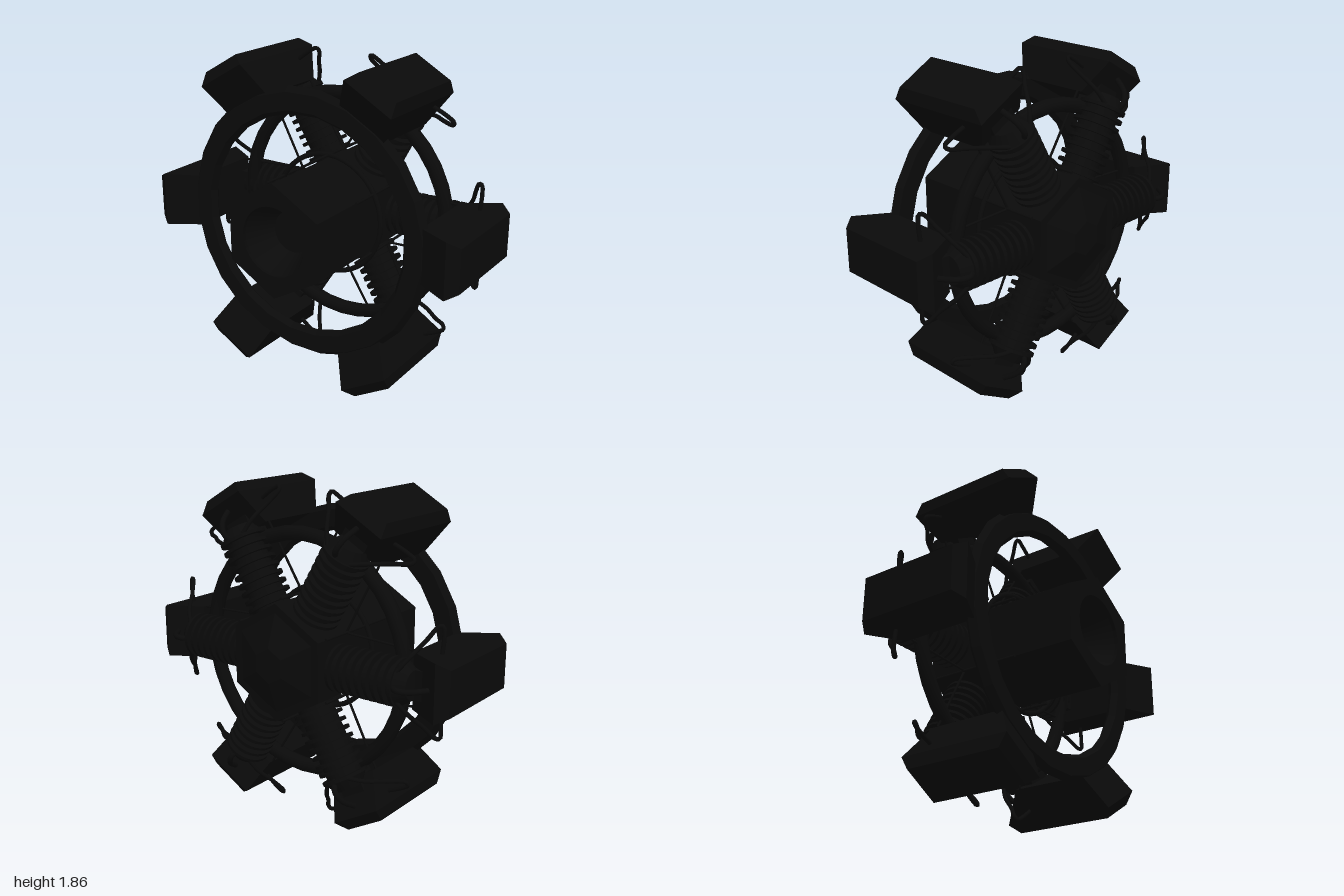
import * as THREE from 'three';

const black = new THREE.MeshStandardMaterial({ color: 0x0a0a0a });
black.name = 'black';
const blackFlat = black;

function add(parent, name, geometry, x = 0, y = 0, z = 0) {
  const mesh = new THREE.Mesh(geometry, blackFlat);
  mesh.name = name;
  mesh.position.set(x, y, z);
  parent.add(mesh);
  return mesh;
}

const flat = (g) => {
  const f = g.index ? g.toNonIndexed() : g;
  f.computeVertexNormals();
  return f;
};

// Revolved solid around z
const ringGeometry = (points, sides, start = 0) =>
  flat(new THREE.LatheGeometry(points.map(([r, h]) => new THREE.Vector2(r, h)), sides, start)
    .rotateX(Math.PI / 2));

// Smooth pipe through points
const pipe = (points, radius, segments = 24) => new THREE.TubeGeometry(
  new THREE.CatmullRomCurve3(points.map((p) => new THREE.Vector3(...p))), segments, radius, 8);

// Thruster block lofted along x: each section is [x, zBack, zFront, halfWidth]
function podGeometry() {
  const sections = [[0.74, -0.23, 0.22, 0.155], [0.935, -0.345, 0.325, 0.16], [1.0, -0.3, 0.28, 0.125]];
  const rings = sections.map(([x, b, f, w]) => [[x, -w, b], [x, w, b], [x, w, f], [x, -w, f]]);
  const pos = [];
  const quad = (a, b, c, d) => pos.push(...a, ...b, ...c, ...a, ...c, ...d);
  for (let i = 0; i < rings.length - 1; i++) {
    for (let k = 0; k < 4; k++) {
      const n = (k + 1) % 4;
      quad(rings[i][k], rings[i][n], rings[i + 1][n], rings[i + 1][k]);
    }
  }
  quad(rings[0][3], rings[0][2], rings[0][1], rings[0][0]);
  quad(...rings[2]);
  const g = new THREE.BufferGeometry();
  g.setAttribute('position', new THREE.Float32BufferAttribute(pos, 3));
  g.computeVertexNormals();
  return g;
}

// One radial arm, pointing along +x
function createArm() {
  const arm = new THREE.Group();
  arm.name = 'arm';
  const z = -0.285;
  add(arm, 'pod', podGeometry());
  add(arm, 'cylinder', new THREE.CylinderGeometry(0.1, 0.1, 0.52, 24).rotateZ(Math.PI / 2), 0.48, 0, z);
  for (let i = 0; i < 10; i++) {
    add(arm, 'coolingFin', new THREE.CylinderGeometry(0.132, 0.132, 0.018, 24).rotateZ(Math.PI / 2),
      0.27 + i * 0.049, 0, z);
  }
  add(arm, 'cylinderHead', new THREE.CylinderGeometry(0.08, 0.12, 0.06, 16).rotateZ(-Math.PI / 2), 0.75, 0, z);
  add(arm, 'headMount', new THREE.BoxGeometry(0.16, 0.16, 0.12), 0.78, 0, -0.22);
  add(arm, 'intakePipe', pipe([[0.7, 0, -0.37], [0.76, 0, -0.41], [0.82, 0, -0.39], [0.89, 0, -0.3]], 0.016));
  for (const s of [-1, 1]) {
    add(arm, 'pushRod', pipe([[0.3, s * 0.17, -0.2], [0.74, s * 0.152, -0.2]], 0.007, 2));
    add(arm, 'sideCable', pipe([[0.72, s * 0.08, -0.36], [0.77, s * 0.15, -0.32], [0.82, s * 0.235, -0.24],
      [0.86, s * 0.3, -0.19], [0.88, s * 0.3, -0.18], [0.885, s * 0.25, -0.18], [0.875, s * 0.14, -0.18]], 0.012, 36));
  }
  return arm;
}

export function createModel() {
  const model = new THREE.Group();
  model.name = 'radialEngine';
  const body = new THREE.Group();
  body.name = 'engineBody';
  body.position.y = 0.928;
  model.add(body);

  // Hexagonal hub with a conical front opening
  const hub = new THREE.Shape();
  for (let i = 0; i < 6; i++) {
    const a = Math.PI / 6 + i * Math.PI / 3;
    hub[i ? 'lineTo' : 'moveTo'](0.333 * Math.cos(a), 0.333 * Math.sin(a));
  }
  hub.closePath();
  const opening = new THREE.Path();
  opening.absarc(0, 0, 0.2, 0, Math.PI * 2, true);
  hub.holes.push(opening);
  add(body, 'hubFront', new THREE.ExtrudeGeometry(hub, { depth: 0.2, bevelEnabled: false, curveSegments: 16 }), 0, 0, 0.3);
  add(body, 'hubBody', flat(new THREE.CylinderGeometry(0.333, 0.333, 0.74, 6).rotateX(Math.PI / 2).rotateZ(0)),
    0, 0, -0.07);
  add(body, 'nozzleFloor', ringGeometry([[0.12, 0.32], [0.2, 0.48]].reverse(), 32));
  add(body, 'backCap', flat(new THREE.CylinderGeometry(0.29, 0.1, 0.065, 6).rotateX(Math.PI / 2)), 0, 0, -0.4695);
  add(body, 'backBoss', new THREE.CylinderGeometry(0.05, 0.05, 0.02, 16).rotateX(Math.PI / 2), 0, 0, -0.492);

  // Front support ring and rear manifold ring
  add(body, 'supportRing', ringGeometry([[0.635, 0.2], [0.66, 0.168], [0.76, 0.168], [0.79, 0.2],
    [0.76, 0.235], [0.66, 0.235], [0.635, 0.2]], 24, Math.PI / 24));
  add(body, 'manifoldRing', new THREE.TorusGeometry(0.675, 0.042, 10, 36), 0, 0, -0.2);

  // Thin harness ring with lengthwise rods around the hub
  add(body, 'harnessRing', new THREE.TorusGeometry(0.353, 0.015, 8, 40), 0, 0, -0.03);
  for (let i = 0; i < 6; i++) {
    const a = Math.PI / 6 + i * Math.PI / 3;
    add(body, 'harnessRod', new THREE.CylinderGeometry(0.008, 0.008, 0.54, 8).rotateX(Math.PI / 2),
      0.35 * Math.cos(a), 0.35 * Math.sin(a), -0.12);
  }

  // Six arms
  for (let i = 0; i < 6; i++) {
    const arm = createArm();
    arm.rotation.z = i * Math.PI / 3;
    body.add(arm);
  }
  return model;
}
